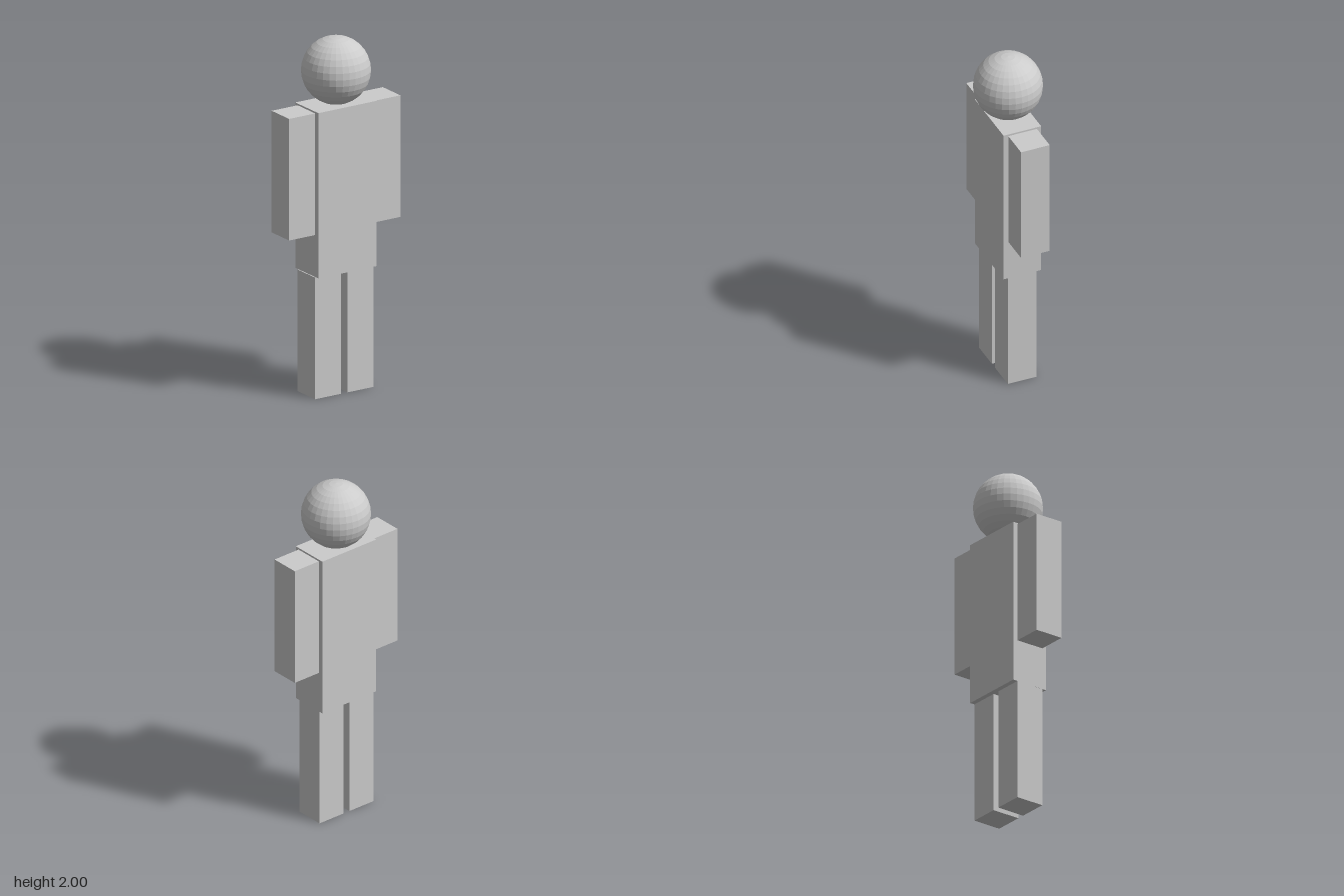
import * as THREE from 'three';

export function createModel() {
  const model = new THREE.Group();
  const material = new THREE.MeshStandardMaterial({ color: 0xcccccc, flatShading: true });

  const add = (name, geometry, x, y) => {
    const mesh = new THREE.Mesh(geometry, material);
    mesh.name = name;
    mesh.position.set(x, y, 0);
    model.add(mesh);
  };

  // Faceted ball head, sunk slightly into the torso
  add('head', new THREE.SphereGeometry(0.189, 32, 16), 0, 1.811);

  // Torso slab
  add('torso', new THREE.BoxGeometry(0.379, 0.938, 0.222), 0, 1.161);

  // Arms and legs share one block shape; the legs sit a touch off centre
  const limb = new THREE.BoxGeometry(0.169, 0.69, 0.169);
  add('leftArm', limb, 0.277, 1.277);
  add('rightArm', limb, -0.277, 1.277);
  add('leftLeg', limb, 0.102, 0.345);
  add('rightLeg', limb, -0.108, 0.345);

  return model;
}
